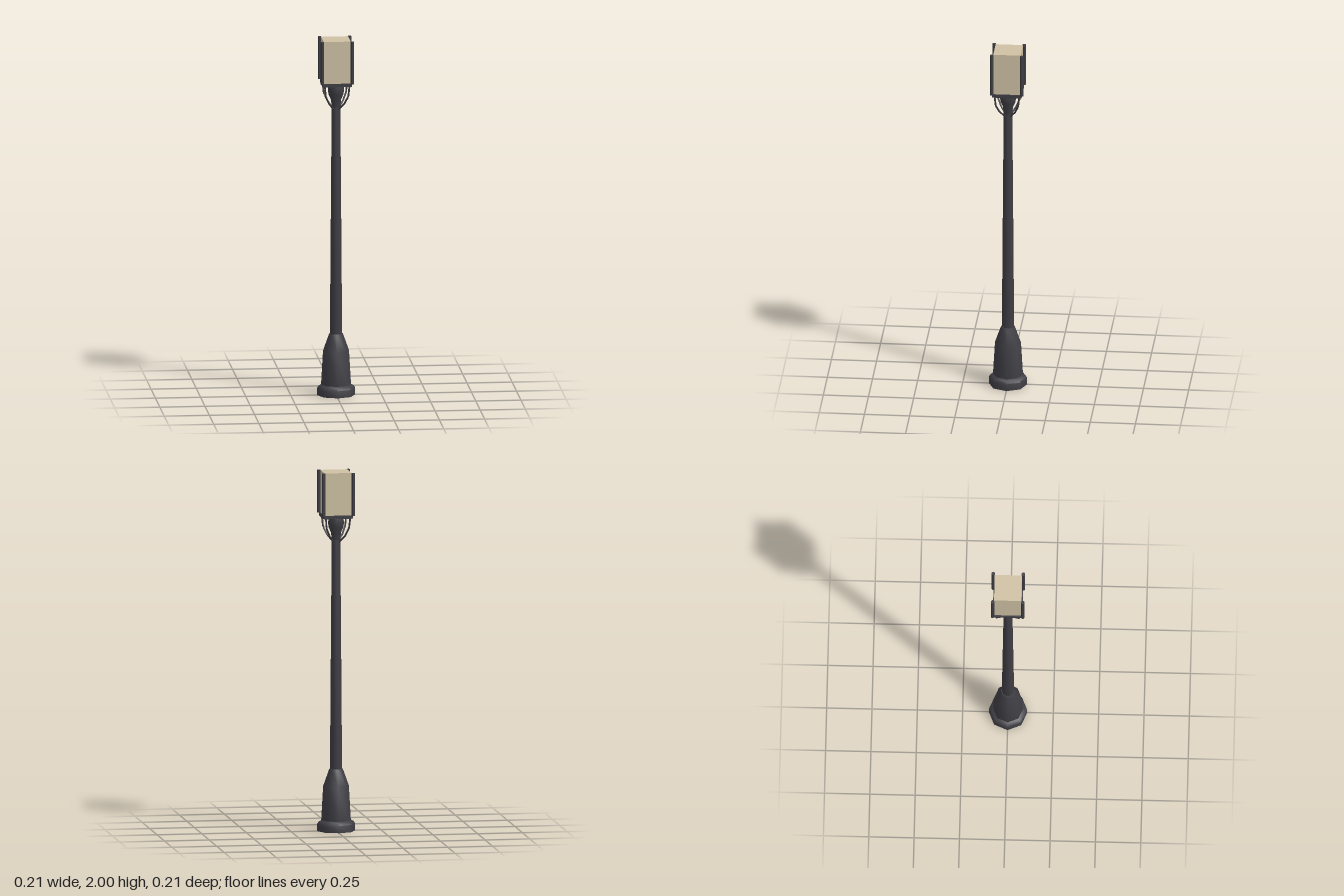
import * as THREE from 'three';
import { toCreasedNormals } from 'three/addons/utils/BufferGeometryUtils.js';

const iron = new THREE.MeshStandardMaterial({ color: 0x3f3e44 });
iron.name = 'dark iron';
const glass = new THREE.MeshStandardMaterial({ color: 0xcfc1a3 });
glass.name = 'warm glass';

export function createModel() {
  const model = new THREE.Group();
  model.name = 'streetLamp';

  const add = (name, geometry, material, x = 0, y = 0, z = 0, turn = 0) => {
    const mesh = new THREE.Mesh(geometry, material);
    mesh.name = name;
    mesh.position.set(x, y, z);
    mesh.rotation.y = turn;
    model.add(mesh);
    return mesh;
  };
  // Eight-sided turned part from [radius, height] pairs, bottom to top
  const turned = (name, profile) => {
    const points = profile.map(([r, y]) => new THREE.Vector2(r, y));
    add(name, toCreasedNormals(new THREE.LatheGeometry(points, 8), 0.9), iron);
  };

  // Flared foot, tapering shaft and cup under the lantern
  turned('base', [[0, 0], [0.106, 0], [0.106, 0.04], [0.098, 0.052], [0.083, 0.06],
    [0.072, 0.25], [0.038, 0.345], [0, 0.345]]);
  turned('pole', [[0.034, 0.34], [0.029, 1], [0.024, 1.63]]);
  turned('cup', [[0.024, 1.62], [0.028, 1.66], [0.041, 1.69], [0.045, 1.715],
    [0.04, 1.748], [0, 1.748]]);

  // Lantern box on its floor plate
  add('lanternGlass', new THREE.BoxGeometry(0.15, 0.24, 0.15), glass, 0, 1.88, 0);
  add('lanternFloor', new THREE.BoxGeometry(0.156, 0.012, 0.156), iron, 0, 1.754, 0);

  const railShape = new THREE.BoxGeometry(0.164, 0.018, 0.009);
  const postShape = toCreasedNormals(
    new THREE.CylinderGeometry(0.0102, 0.0102, 0.238, 8).rotateY(Math.PI / 8), 0.9);
  // Bent stay from the pole to a lantern corner, bowing outwards
  const stayPath = new THREE.CurvePath();
  const stayPoints = [[0.022, 1.61], [0.06, 1.645], [0.088, 1.69], [0.096, 1.745]]
    .map(([r, y]) => new THREE.Vector3(r, y, 0));
  for (let i = 0; i < 3; i++) stayPath.add(new THREE.LineCurve3(stayPoints[i], stayPoints[i + 1]));
  const stayShape = new THREE.TubeGeometry(stayPath, 12, 0.005, 6);

  for (let i = 0; i < 4; i++) {
    const side = i * Math.PI / 2;
    const corner = side + Math.PI / 4;
    add('lanternRail', railShape, iron, Math.sin(side) * 0.0775, 1.755, Math.cos(side) * 0.0775, side);
    add('cornerPost', postShape, iron,
      Math.sign(Math.cos(corner)) * 0.083, 1.881, Math.sign(Math.sin(corner)) * 0.083);
    add('stay', stayShape, iron, 0, 0, 0, corner);
  }
  return model;
}
